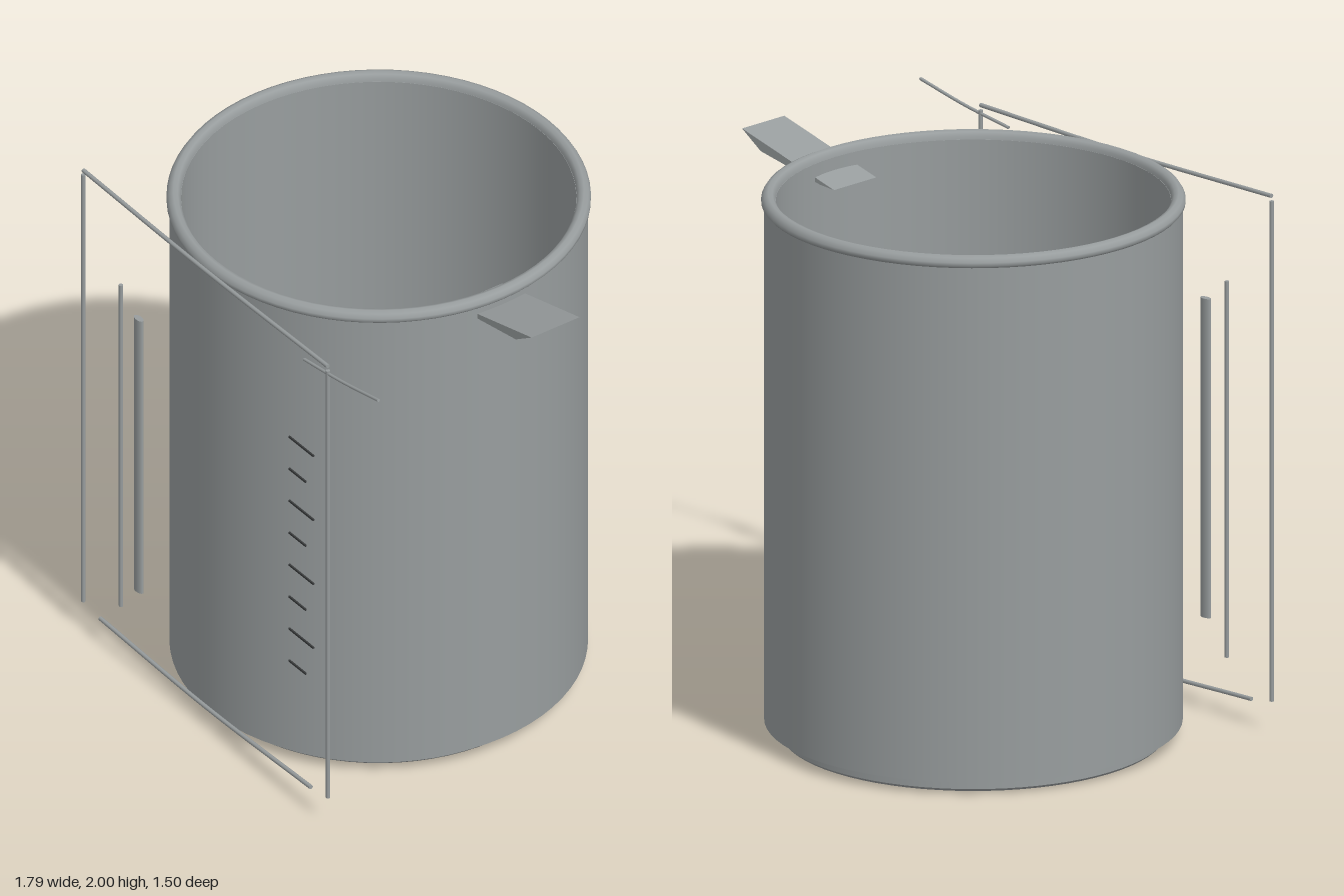
import * as THREE from 'three';

const CX = -0.157, CZ = -0.009; // vessel axis
const FRONT = 0.74;             // plane of the outline rods

export function createModel() {
  const model = new THREE.Group();
  const steel = new THREE.MeshStandardMaterial({ color: 0x989d9e });
  steel.name = 'steel grey';
  const dark = new THREE.MeshStandardMaterial({ color: 0x3a3c3d });
  dark.name = 'dark marking grey';

  const add = (name, geometry, material = steel, x = 0, y = 0, z = 0) => {
    const mesh = new THREE.Mesh(geometry, material);
    mesh.name = name;
    mesh.position.set(x, y, z);
    model.add(mesh);
    return mesh;
  };

  // Revolved part; doubled profile points keep the corners sharp
  const turned = (name, profile, sharp = true) => {
    const pts = [];
    profile.forEach(([r, y], i) => {
      pts.push(new THREE.Vector2(r, y));
      if (sharp && i > 0 && i < profile.length - 1) pts.push(new THREE.Vector2(r, y));
    });
    return add(name, new THREE.LatheGeometry(pts, 72), steel, CX, 0, CZ);
  };

  // Vessel wall, rolled rim and separate base disc
  turned('vesselWall', [[0.69, 0.05], [0.731, 0.05], [0.731, 1.95], [0.69, 1.95], [0.69, 0.05]]);
  turned('rim', [
    [0.69, 1.94], [0.733, 1.937], [0.741, 1.946], [0.741, 1.958], [0.732, 1.973],
    [0.717, 1.98], [0.702, 1.975], [0.692, 1.962], [0.69, 1.94],
  ], false);
  turned('base', [[0, 0], [0.672, 0], [0.682, 0.01], [0.682, 0.05], [0, 0.05]]);

  // Pouring spout: thin wedge that passes through the wall
  const wedge = new THREE.Shape([
    [0.43, 1.876], [0.5, 1.88], [0.795, 1.935], [0.888, 1.997],
  ].map(([x, y]) => new THREE.Vector2(x, y)));
  add('spout', new THREE.ExtrudeGeometry(wedge, { depth: 0.207, bevelEnabled: false }),
    steel, 0, 0, -0.115);

  // Thin rods in front of the vessel
  const rod = (name, points, radius = 0.008) => {
    const curve = new THREE.CatmullRomCurve3(points.map(([x, y]) => new THREE.Vector3(x, y, FRONT)));
    add(name, new THREE.TubeGeometry(curve, 16, radius, 8), steel);
    for (const end of [0, 1]) {
      const cap = add(name + 'Cap', new THREE.CircleGeometry(radius, 8));
      cap.position.copy(curve.getPointAt(end));
      const out = curve.getTangentAt(end).multiplyScalar(end ? 1 : -1);
      cap.quaternion.setFromUnitVectors(new THREE.Vector3(0, 0, 1), out);
    }
  };
  rod('topRod', [[-0.88, 1.963], [-0.155, 1.953], [0.57, 1.963]]);
  rod('bottomRod', [[-0.78, 0.095], [-0.155, 0.078], [0.47, 0.095]]);
  rod('spoutRod', [[0.43, 1.912], [0.65, 1.945], [0.87, 1.991]], 0.006);
  for (const x of [-0.88, 0.57]) rod('sideRod', [[x, 0.11], [x, 1.945]]);
  rod('highlightRod', [[-0.657, 0.22], [-0.657, 1.6]]);

  // Flattened vertical bar
  add('sideBar', new THREE.CylinderGeometry(0.024, 0.024, 1.17, 20), steel, -0.554, 0.93, 0.738)
    .scale.z = 0.5;

  // Measuring marks, alternating long and short
  for (let i = 0; i < 8; i++) {
    const length = i % 2 ? 0.1 : 0.145;
    add('measureMark', new THREE.BoxGeometry(length, 0.007, 0.006), dark,
      0.325 + length / 2, 1.514 - i * 0.1375, 0.729);
  }

  return model;
}
